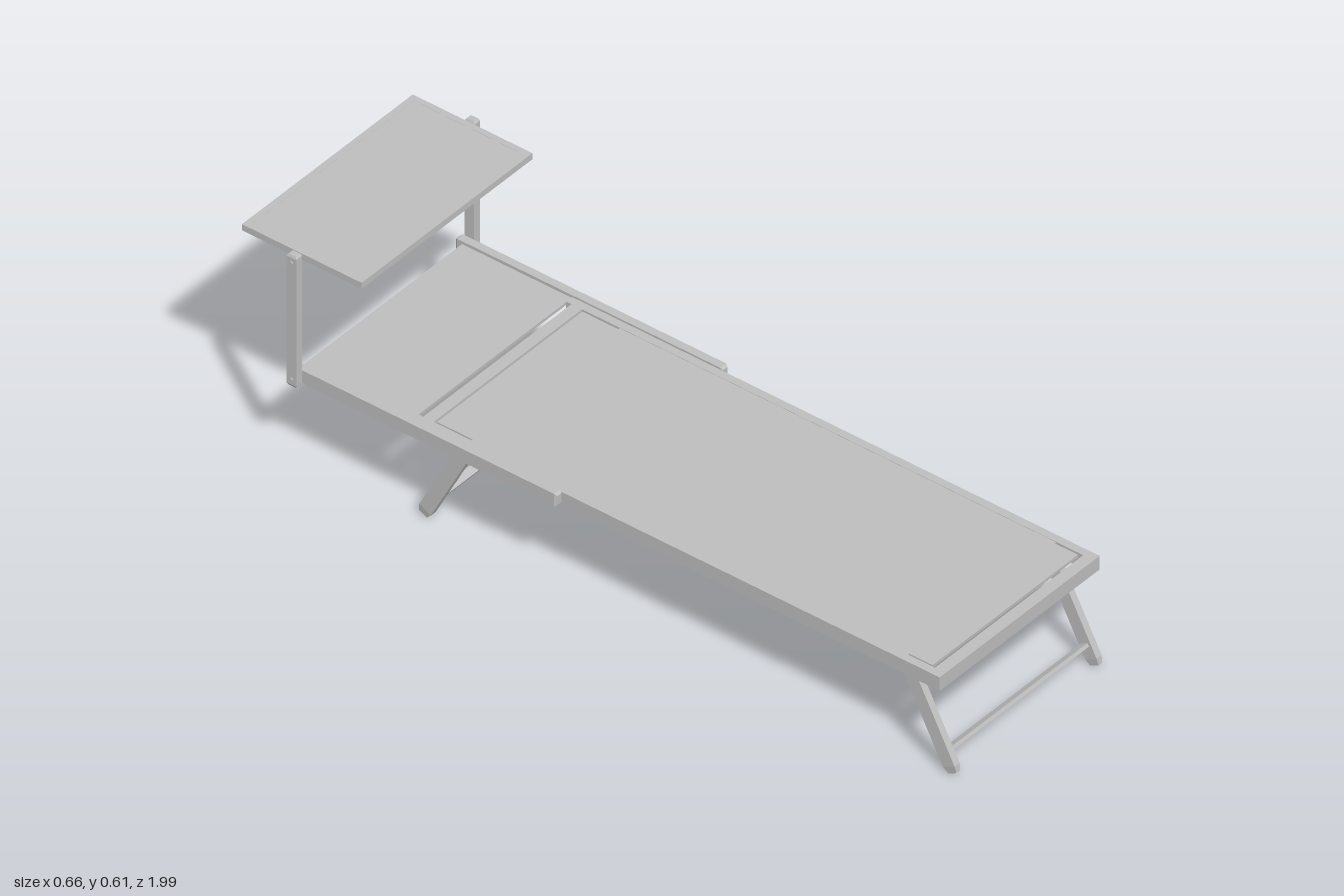
import * as THREE from 'three';

const grey = new THREE.MeshStandardMaterial({ color: 0xbfbfbf, flatShading: true });
grey.name = 'light grey';

export function createModel() {
  const model = new THREE.Group();
  model.name = 'sunLounger';

  const add = (name, geometry) => {
    const mesh = new THREE.Mesh(geometry, grey);
    mesh.name = name;
    model.add(mesh);
    return mesh;
  };

  // box given by its lower and upper limits on each axis
  const box = (name, [x0, x1], [y0, y1], [z0, z1]) => {
    const mesh = add(name, new THREE.BoxGeometry(x1 - x0, y1 - y0, z1 - z0));
    mesh.position.set((x0 + x1) / 2, (y0 + y1) / 2, (z0 + z1) / 2);
    return mesh;
  };

  // square tube along y whose capped ends taper over the length c
  const cappedBar = (name, w, length, d, c = 0.006) => {
    const g = new THREE.BoxGeometry(w, length, d, 1, 3, 1);
    const p = g.attributes.position;
    for (let i = 0; i < p.count; i++) {
      const y = p.getY(i), end = Math.abs(y) > length * 0.49;
      if (end) p.setXYZ(i, p.getX(i) * 0.7, y, p.getZ(i) * 0.7);
      else p.setY(i, Math.sign(y) * (length / 2 - c));
    }
    return add(name, g);
  };

  // bed frame
  box('frontRail', [-0.283, 0.283], [0.247, 0.285], [0.937, 0.967]);
  box('backRail', [-0.262, 0.262], [0.247, 0.285], [-0.517, -0.487]);

  // bed sheet, slightly narrower at the corners
  const s = new THREE.Shape();
  const half = [[0.257, -0.482], [0.257, -0.38], [0.262, -0.38], [0.262, 0.86], [0.257, 0.86], [0.257, 0.926]];
  [...half, ...half.map(([x, z]) => [-x, z]).reverse()]
    .forEach(([x, z], i) => (i ? s.lineTo(x, z) : s.moveTo(x, z)));
  const sheet = new THREE.ExtrudeGeometry(s, { depth: 0.008, bevelEnabled: false });
  sheet.rotateX(Math.PI / 2);
  add('bedSheet', sheet).position.y = 0.284;

  // head section sheet
  box('headSheet', [-0.284, 0.284], [0.274, 0.282], [-0.845, -0.533]);

  for (const side of [-1, 1]) {
    const xs = (a, b) => (side > 0 ? [a, b] : [-b, -a]);
    box('sideRail', xs(0.262, 0.283), [0.247, 0.285], [-0.532, 0.937]);

    // head rail outside the bed frame
    const rail = cappedBar('headRail', 0.021, 0.76, 0.036);
    rail.rotation.x = Math.PI / 2;
    rail.position.set(side * 0.2935, 0.272, -0.485);

    // canopy post with its bolts
    cappedBar('canopyPost', 0.021, 0.367, 0.028).position.set(side * 0.3145, 0.4335, -0.841);
    for (const y of [0.271, 0.596]) {
      const bolt = add('postBolt', new THREE.CylinderGeometry(0.005, 0.005, 0.04, 12));
      bolt.rotation.z = Math.PI / 2;
      bolt.position.set(side * 0.308, y, -0.841);
    }
  }

  // slanted leg pairs with crossbars; dir is where the feet point
  const legs = [
    { name: 'front', dir: 1, topZ: 0.852, footZ: 0.983 },
    { name: 'rear', dir: -1, topZ: -0.394, footZ: -0.522 },
  ];
  for (const { name, dir, topZ, footZ } of legs) {
    const top = new THREE.Vector3(0, 0.256, topZ), foot = new THREE.Vector3(0, 0.009, footZ);
    const tilt = -dir * Math.atan2(Math.abs(footZ - topZ), top.y - foot.y);
    for (const side of [-1, 1]) {
      const leg = cappedBar(name + 'Leg', 0.018, top.distanceTo(foot), 0.037, 0.018);
      leg.rotation.x = tilt;
      leg.position.copy(top).lerp(foot, 0.5).setX(side * 0.251);
    }
    const bar = add(name + 'Crossbar', new THREE.BoxGeometry(0.486, 0.009, 0.021));
    bar.rotation.x = tilt;
    bar.position.copy(top).lerp(foot, 0.81);
  }

  // canopy: rim with a sheet set into it
  const [z0, z1, rim, y] = [-1, -0.66, 0.016, [0.597, 0.614]];
  for (const side of [-1, 1]) {
    const xs = side > 0 ? [0.302 - rim, 0.302] : [-0.302, rim - 0.302];
    box('canopySideRim', xs, y, [z0, z1]);
    box('canopyEndRim', [rim - 0.302, 0.302 - rim], y, side > 0 ? [z1 - rim, z1] : [z0, z0 + rim]);
  }
  box('canopySheet', [rim - 0.302, 0.302 - rim], [0.605, 0.6135], [z0 + rim, z1 - rim]);

  return model;
}
